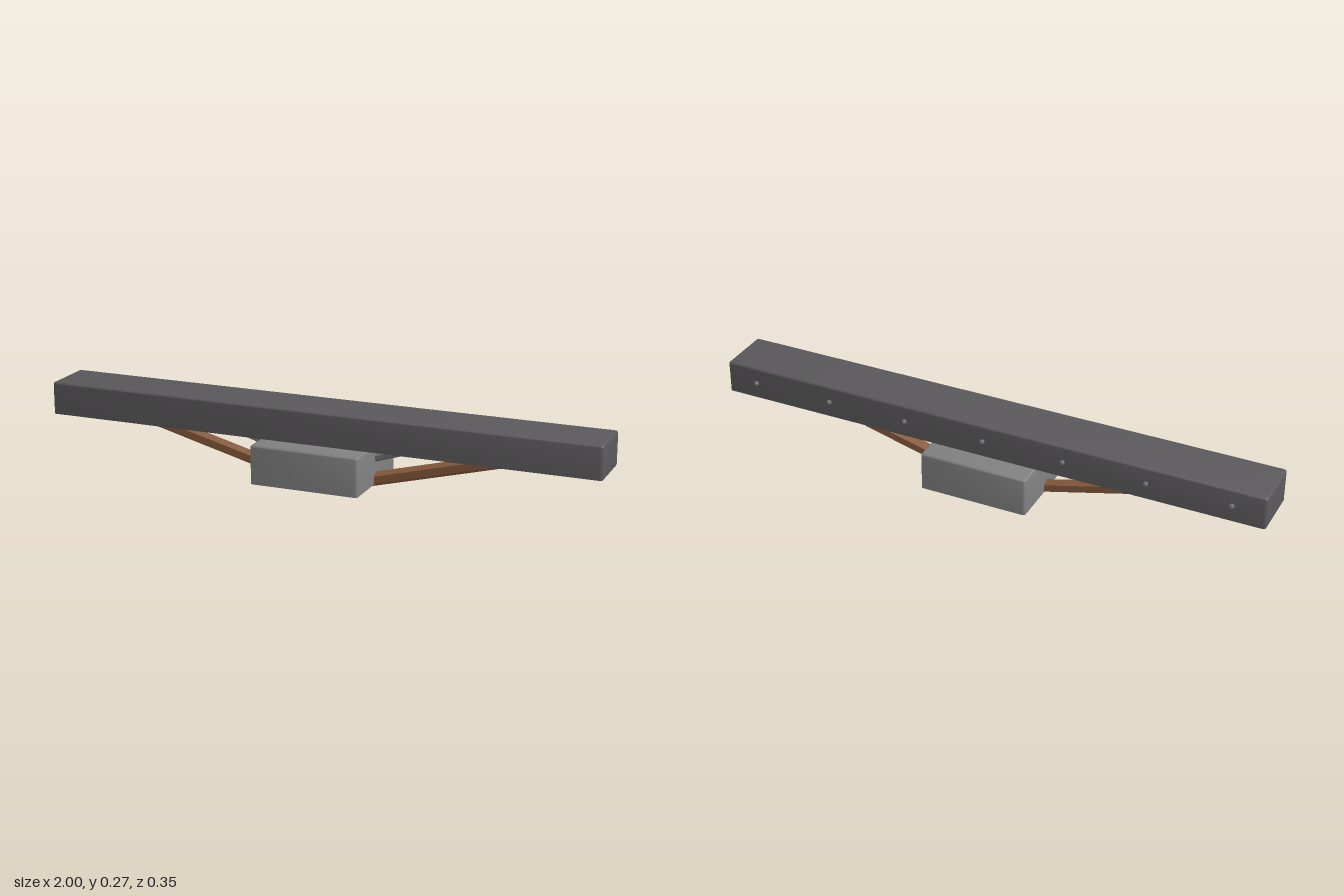
import * as THREE from 'three';
import { toCreasedNormals } from 'three/addons/utils/BufferGeometryUtils.js';

const mat = (name, color) => {
  const m = new THREE.MeshStandardMaterial({ color });
  m.name = name;
  return m;
};

// Block standing on y = 0: rounded top and upright edges, square flat underside
function softBlock(w, h, d, r) {
  const x = w / 2, y = d / 2;
  const plan = new THREE.Shape();
  plan.moveTo(-x + r, -y);
  plan.lineTo(x - r, -y);
  plan.absarc(x - r, -y + r, r, -Math.PI / 2, 0);
  plan.absarc(x - r, y - r, r, 0, Math.PI / 2);
  plan.absarc(-x + r, y - r, r, Math.PI / 2, Math.PI);
  plan.absarc(-x + r, -y + r, r, Math.PI, Math.PI * 1.5);
  const b = r * 0.9;
  const geo = new THREE.ExtrudeGeometry(plan, {
    depth: h - b, bevelEnabled: true, bevelThickness: b, bevelSize: b,
    bevelOffset: -b, bevelSegments: 3, curveSegments: 3,
  });
  // Flatten the lower bevel into the underside
  const p = geo.attributes.position;
  for (let i = 0; i < p.count; i++) p.setZ(i, Math.max(0, p.getZ(i)));
  geo.rotateX(-Math.PI / 2);
  return toCreasedNormals(geo, 0.6);
}

// Six-sided bar from a to b with an edge pointing straight down
function hexBar(a, b, radius) {
  const dir = new THREE.Vector2(b[0] - a[0], b[1] - a[1]);
  const geo = new THREE.CylinderGeometry(radius, radius, dir.length(), 6);
  geo.rotateY(Math.PI / 2);
  geo.rotateZ(dir.angle() - Math.PI / 2);
  geo.translate((a[0] + b[0]) / 2, (a[1] + b[1]) / 2, 0);
  return toCreasedNormals(geo, 0.5);
}

export function createModel() {
  const model = new THREE.Group();
  const darkGrey = mat('dark grey', 0x5a585a);
  const midGrey = mat('mid grey', 0x808080);
  const brown = mat('rust brown', 0x8a5c3e);
  const steel = mat('steel grey', 0x747478);

  const add = (name, geo, material, x = 0, y = 0, z = 0) => {
    const mesh = new THREE.Mesh(geo, material);
    mesh.name = name;
    mesh.position.set(x, y, z);
    model.add(mesh);
  };

  // Long beam resting on the central block
  add('beam', softBlock(2, 0.116, 0.195, 0.009), darkGrey, 0, 0.152);
  add('baseBlock', softBlock(0.39, 0.138, 0.353, 0.009), midGrey, 0, 0.014);

  // Braces from the block up into the beam, mirrored
  for (const s of [1, -1]) {
    const side = s > 0 ? 'left' : 'right';
    add(side + 'Brace', hexBar([s * 0.176, 0.025], [s * 0.77, 0.18], 0.0245), brown);
    add(side + 'InnerRod', hexBar([s * 0.16, 0.094], [s * 0.42, 0.178], 0.014), steel);
  }

  // Row of rivets along the back of the beam
  const rivet = new THREE.SphereGeometry(0.01, 8, 3);
  for (let i = -3; i <= 3; i++) add('rivet', rivet, steel, i * 0.295, 0.21, -0.101);

  return model;
}
